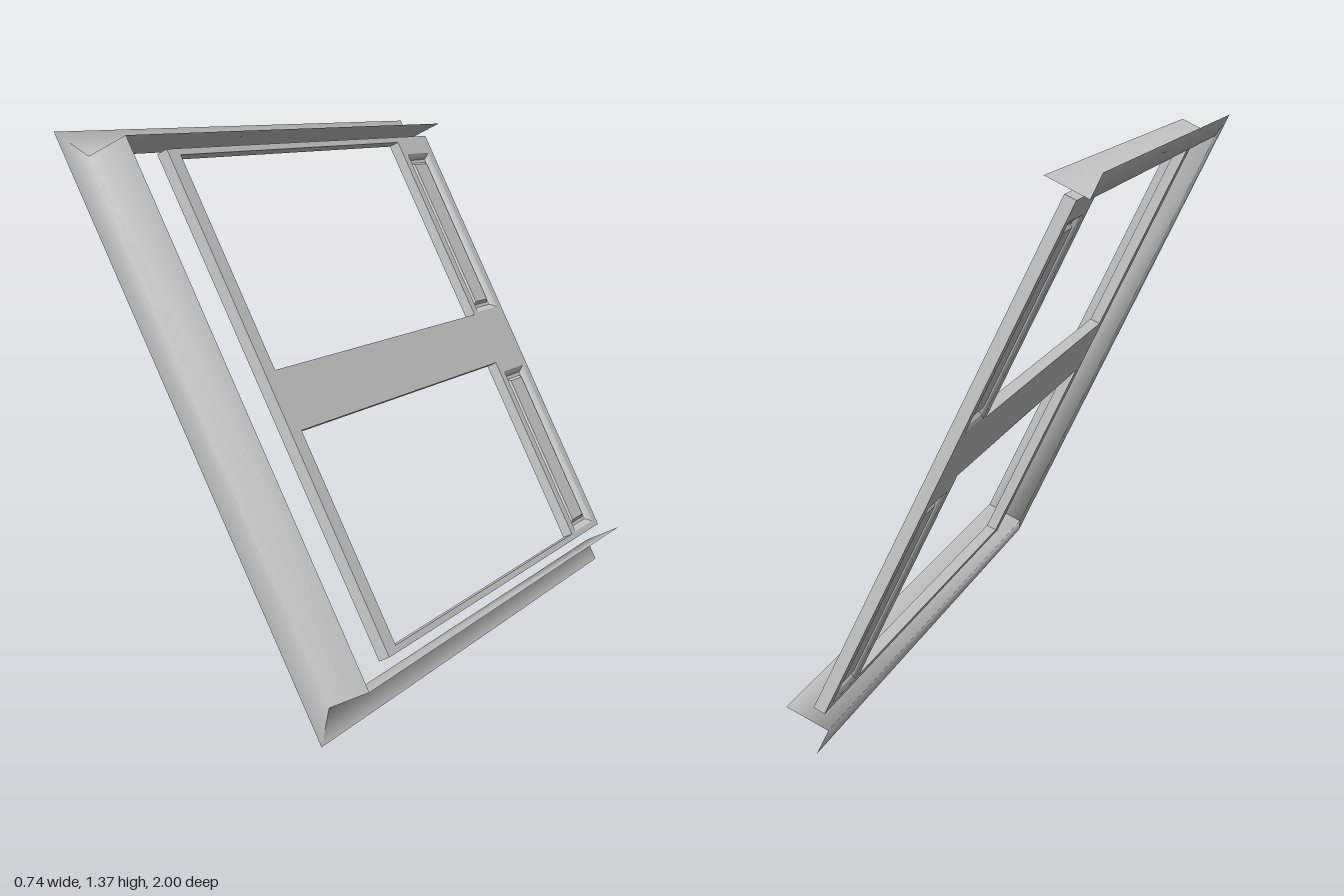
import * as THREE from 'three';

const mat = new THREE.MeshStandardMaterial({ color: 0xcccccc, side: THREE.DoubleSide });

// Skin a list of equal-length point rows into one surface
function skin(rows, name, { smooth = true, cap = false } = {}) {
  const n = rows[0].length;
  const index = [];
  for (let j = 0; j < rows.length - 1; j++) {
    for (let k = 0; k < n - 1; k++) {
      const a = j * n + k, c = a + n;
      index.push(a, a + 1, c, a + 1, c + 1, c);
    }
  }
  if (cap) {
    const s = (rows.length - 1) * n;
    index.push(s, s + 1, s + 2, s, s + 2, s + 3);
  }
  let geo = new THREE.BufferGeometry();
  geo.setAttribute('position', new THREE.Float32BufferAttribute(rows.flat(2), 3));
  geo.setIndex(index);
  if (!smooth) geo = geo.toNonIndexed();
  geo.computeVertexNormals();
  const mesh = new THREE.Mesh(geo, mat);
  mesh.name = name;
  return mesh;
}

function rectPath(Type, x0, y0, x1, y1) {
  const p = new Type();
  p.moveTo(x0, y0).lineTo(x1, y0).lineTo(x1, y1).lineTo(x0, y1).closePath();
  return p;
}

// L-section casing on three sides, mitred: flat flange, then a wall standing forward
function casing() {
  const H = 1.393, depth = 0.113, f = 0.065;
  const group = new THREE.Group();
  group.name = 'casing';
  const section = (x, y, ox, oy) => [[ox, oy, 0], [x, y, 0], [x, y, depth]];
  const stations = [
    section(1, 0, 1, -f),
    section(-0.9, 0, -1, -f),
    section(-0.9, H, -1, H + f),
    section(1, H, 1, H + f),
  ];
  ['bottomCasing', 'sideCasing', 'topCasing'].forEach((name, i) => {
    group.add(skin([stations[i], stations[i + 1]], name));
  });
  return group;
}

// Sunk moulding with a raised field, closing a panel hole
function panel(x0, y0, x1, y1, front, dir, name) {
  const steps = [[0, 0], [0.01, 0.006], [0.016, 0.014], [0.026, 0.014], [0.034, 0.006]];
  const rows = steps.map(([inset, sink]) => {
    const z = front - dir * sink;
    const a = x0 + inset, b = x1 - inset, c = y0 + inset, d = y1 - inset;
    const ring = [[a, c, z], [b, c, z], [b, d, z], [a, d, z], [a, c, z]];
    return dir > 0 ? ring : [ring[0], ring[3], ring[2], ring[1], ring[0]];
  });
  return skin(rows, name, { smooth: false, cap: true });
}

export function createModel() {
  const model = new THREE.Group();
  model.name = 'windowFrame';

  // Leaning plane: local x runs to the back, y up the slope, z out of the face
  const lean = new THREE.Group();
  lean.name = 'leaningFrame';
  const up = new THREE.Vector3(-0.441, 0.898, 0).normalize();
  const back = new THREE.Vector3(0, 0, -1);
  const out = new THREE.Vector3().crossVectors(back, up);
  lean.quaternion.setFromRotationMatrix(new THREE.Matrix4().makeBasis(back, up, out));
  lean.position.set(0.27, 0.059, 0);
  model.add(lean);
  lean.add(casing());

  // Inner frame: stile, rails and a panelled board with two large openings
  const openings = [[-0.58, 0.05, 0.765, 0.62], [-0.58, 0.781, 0.765, 1.361]];
  const panels = [[0.8, 0.051, 0.962, 0.586], [0.8, 0.786, 0.962, 1.32]];
  const shape = rectPath(THREE.Shape, -0.635, 0.033, 1, 1.378);
  for (const h of [...openings, ...panels]) shape.holes.push(rectPath(THREE.Path, ...h));
  const z0 = 0.025, z1 = 0.055;
  const sash = new THREE.Mesh(
    new THREE.ExtrudeGeometry(shape, { depth: z1 - z0, bevelEnabled: false }), mat);
  sash.name = 'innerFrame';
  sash.position.z = z0;
  lean.add(sash);

  // Raised panels on both faces
  panels.forEach((p, i) => {
    const label = i ? 'upperPanel' : 'lowerPanel';
    lean.add(panel(...p, z1, 1, label + 'Front'));
    lean.add(panel(...p, z0, -1, label + 'Back'));
  });

  return model;
}
